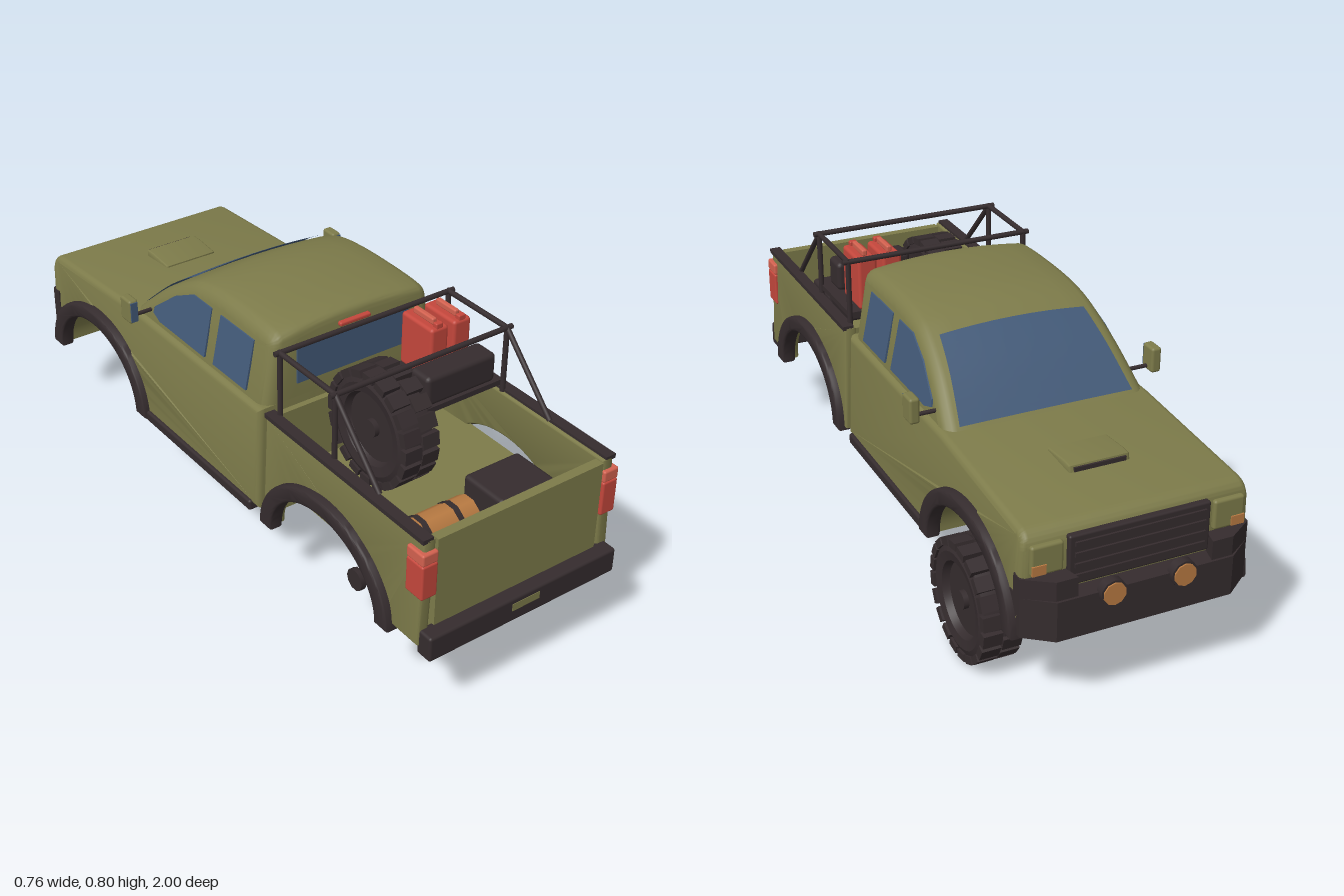
import * as THREE from 'three';
import { toCreasedNormals } from 'three/addons/utils/BufferGeometryUtils.js';
import { RoundedBoxGeometry } from 'three/addons/geometries/RoundedBoxGeometry.js';

const mat = (name, color) => Object.assign(new THREE.MeshStandardMaterial({ color }), { name });
const olive = mat('olive paint', 0x7d7b4a);
const black = mat('black trim', 0x352c2e);
const blue = mat('blue glass', 0x435a78);
const red = mat('red', 0xc4473c);
const paleRed = mat('pale red', 0xd2614f);
const tan = mat('tan', 0xb87a42);

export function createModel() {
  const truck = new THREE.Group();
  truck.name = 'pickupTruck';

  const add = (name, geo, material, parent = truck) => {
    const mesh = new THREE.Mesh(geo, material);
    mesh.name = name;
    parent.add(mesh);
    return mesh;
  };
  // box given by its minimum and maximum corners
  const box = (name, material, [x0, y0, z0], [x1, y1, z1], round = 0, parent = truck) => {
    const s = [x1 - x0, y1 - y0, z1 - z0];
    const geo = round ? new RoundedBoxGeometry(...s, 2, round) : new THREE.BoxGeometry(...s);
    geo.translate((x0 + x1) / 2, (y0 + y1) / 2, (z0 + z1) / 2);
    return add(name, geo, material, parent);
  };
  // round bar between two points
  const bar = (name, a, b, r, material = black) => {
    const from = new THREE.Vector3(...a), dir = new THREE.Vector3(...b).sub(from);
    const mesh = add(name, new THREE.CylinderGeometry(r, r, dir.length(), 10), material);
    mesh.position.copy(from).addScaledVector(dir, 0.5);
    mesh.quaternion.setFromUnitVectors(new THREE.Vector3(0, 1, 0), dir.normalize());
    return mesh;
  };
  // side profile (forward, up) extruded across the truck from x0 to x1
  const slab = (shape, x0, x1, bevel = 0, steps = 1, rule) => {
    const geo = new THREE.ExtrudeGeometry(shape, {
      depth: x1 - x0 - 2 * bevel, steps, curveSegments: 24, bevelEnabled: bevel > 0,
      bevelThickness: bevel, bevelSize: bevel, bevelOffset: -bevel, bevelSegments: 4,
    });
    geo.translate(0, 0, x0 + bevel).rotateY(Math.PI / 2);
    if (rule) rule(geo);
    return toCreasedNormals(geo, 0.6);
  };
  const poly = (pts) => new THREE.Shape(pts.map((p) => new THREE.Vector2(...p)));
  const moveVertices = (fn) => (geo) => {
    const p = geo.attributes.position, v = new THREE.Vector3();
    for (let i = 0; i < p.count; i++) {
      fn(v.fromBufferAttribute(p, i));
      p.setXYZ(i, v.x, v.y, v.z);
    }
    geo.computeVertexNormals();
    return geo;
  };

  // lower body: sides lean in slightly above the wheel arches
  const leanIn = moveVertices((v) => { v.x *= 1 - 0.4 * Math.max(0, v.y - 0.46); });
  const body = new THREE.Shape();
  body.moveTo(-0.245, 0.24);
  body.lineTo(0.385, 0.24);
  body.absellipse(0.625, 0.24, 0.24, 0.185, Math.PI, 0, true);
  body.lineTo(0.91, 0.25);
  body.lineTo(0.928, 0.3);
  body.lineTo(0.928, 0.49);
  body.quadraticCurveTo(0.925, 0.533, 0.885, 0.538);
  body.lineTo(0.43, 0.566);
  body.lineTo(-0.245, 0.566);
  add('lowerBody', slab(body, -0.325, 0.325, 0.018, 1, leanIn), olive);

  // cab top: narrows upwards with a gently crowned roof
  const cabRule = moveVertices((v) => {
    const h = Math.max(0, v.y - 0.56);
    v.y -= h * v.x * v.x;
    v.x *= 1 - 0.62 * h;
  });
  const roofCurve = new THREE.SplineCurve([[-0.245, 0.755], [-0.235, 0.782], [-0.19, 0.795], [-0.09, 0.8], [0.02, 0.799],
    [0.11, 0.789], [0.19, 0.762], [0.315, 0.68], [0.44, 0.56]].map((p) => new THREE.Vector2(...p)));
  const roofPts = roofCurve.getPoints(40);
  const cab = new THREE.Shape([...roofPts, new THREE.Vector2(0.44, 0.5), new THREE.Vector2(-0.245, 0.5)].reverse());
  add('cabTop', slab(cab, -0.302, 0.302, 0.035, 8, cabRule), olive);

  // windscreen follows the roof curve
  const screen = new THREE.PlaneGeometry(2, 1, 8, 12);
  moveVertices((v) => {
    const t = 0.5 - v.y;
    const u = 0.772 + 0.207 * t;
    const p = roofCurve.getPoint(u), d = roofCurve.getTangent(u);
    v.set(v.x * (0.25 + 0.012 * t), p.y + d.x * 0.005, -(p.x - d.y * 0.005));
  })(screen);
  add('windscreen', cabRule(screen), Object.assign(blue, { side: THREE.DoubleSide }));
  const rearWindow = poly([[0.16, 0.585], [0.16, 0.748], [-0.005, 0.748], [-0.005, 0.585]].map(([z, y]) => [-z, y]));
  const frontWindow = poly([[0.05, 0.585], [0.29, 0.585], [0.33, 0.6], [0.325, 0.622], [0.235, 0.7], [0.145, 0.748], [0.05, 0.748]]);
  for (const s of [-1, 1]) {
    const [a, b] = s > 0 ? [0.3, 0.306] : [-0.306, -0.3];
    add('rearSideWindow', slab(rearWindow, a, b, 0, 1, cabRule), blue);
    add('frontSideWindow', slab(frontWindow, a, b, 0, 1, cabRule), blue);
  }
  box('backWindow', blue, [-0.19, 0.61, 0.243], [0.19, 0.73, 0.249]);
  box('highBrakeLight', red, [-0.052, 0.744, 0.235], [0.052, 0.757, 0.258], 0.005);

  // bonnet scoop
  add('bonnetScoop', slab(poly([[0.6, 0.545], [0.725, 0.54], [0.72, 0.566], [0.69, 0.568], [0.6, 0.56]]), -0.088, 0.088, 0.006), olive);
  box('scoopOpening', black, [-0.075, 0.55, -0.728], [0.075, 0.562, -0.722]);

  // nose
  box('grille', black, [-0.2, 0.37, -0.942], [0.2, 0.512, -0.92], 0.006);
  for (let i = 0; i < 4; i++) box('grilleSlat', black, [-0.185, 0.39 + i * 0.031, -0.948], [0.185, 0.402 + i * 0.031, -0.938]);
  const plan = poly([[-0.325, -0.87], [-0.325, -0.925], [-0.25, -0.982], [0.25, -0.982], [0.325, -0.925], [0.325, -0.87]]);
  const bumper = new THREE.ExtrudeGeometry(plan, { depth: 0.115, bevelEnabled: false });
  add('frontBumper', bumper.rotateX(Math.PI / 2).translate(0, 0.36, 0), black);
  for (const s of [-1, 1]) {
    const pts = [[0.325, -0.89], [0.325, -0.925], [0.25, -0.975], [0.19, -0.975], [0.21, -0.89]].map(([x, z]) => [s * x, z]);
    const horn = new THREE.ExtrudeGeometry(poly(pts), { depth: 0.06, bevelEnabled: false });
    add('bumperHorn', horn.rotateX(Math.PI / 2).translate(0, 0.415, 0), black);
    bar('fogLampRim', [s * 0.1, 0.355, -0.97], [s * 0.1, 0.355, -0.996], 0.038);
    bar('fogLamp', [s * 0.1, 0.355, -0.98], [s * 0.1, 0.355, -1], 0.032, tan);
    const lampX = (a, b) => (s > 0 ? [a, b] : [-b, -a]);
    const [h0, h1] = lampX(0.212, 0.302), [m0, m1] = lampX(0.262, 0.3);
    box('headlamp', olive, [h0, 0.42, -0.94], [h1, 0.505, -0.92], 0.008);
    box('turnSignal', tan, [m0, 0.425, -0.944], [m1, 0.452, -0.936]);
  }

  // cargo bed
  const bedSide = new THREE.Shape();
  bedSide.moveTo(-0.955, 0.25);
  bedSide.lineTo(-0.81, 0.25);
  bedSide.absellipse(-0.57, 0.24, 0.24, 0.185, Math.PI, 0, true);
  bedSide.lineTo(-0.275, 0.24);
  bedSide.lineTo(-0.275, 0.57);
  bedSide.lineTo(-0.955, 0.57);
  box('bedFloor', olive, [-0.3, 0.366, 0.28], [0.3, 0.38, 0.94]);
  box('bedFrontWall', olive, [-0.3, 0.25, 0.277], [0.3, 0.568, 0.295]);
  box('tailgate', olive, [-0.273, 0.27, 0.93], [0.273, 0.566, 0.958]);

  // arch flare ring between two half ellipses
  const flare = (c) => {
    const shape = new THREE.Shape();
    shape.absellipse(c, 0.232, 0.288, 0.237, 0, Math.PI, false);
    shape.absellipse(c, 0.232, 0.234, 0.19, Math.PI, 0, true);
    return shape;
  };

  for (const s of [-1, 1]) {
    const side = (a, b) => (s > 0 ? [a, b] : [-b, -a]);
    add('bedSide', slab(bedSide, ...side(0.288, 0.325), 0.008, 1, leanIn), olive);
    for (const c of [0.625, -0.57]) add('archFlare', slab(flare(c), ...side(0.3, 0.346), 0.01), black);
    const [r0, r1] = side(0.285, 0.318), [k0, k1] = side(0.295, 0.335), [t0, t1] = side(0.275, 0.325);
    box('bedRail', black, [r0, 0.565, 0.277], [r1, 0.578, 0.955]);
    box('rockSlider', black, [k0, 0.222, -0.37], [k1, 0.256, 0.22], 0.008);
    box('tailLight', red, [t0, 0.4, 0.9], [t1, 0.505, 0.966], 0.006);
    box('tailLightTop', paleRed, [t0, 0.505, 0.9], [t1, 0.54, 0.966], 0.006);

    // load cage
    const x = s * 0.285;
    bar('cageFrontPost', [x, 0.57, 0.305], [x, 0.77, 0.305], 0.008);
    bar('cageRearPost', [x, 0.57, 0.55], [x, 0.77, 0.55], 0.008);
    bar('cageTopRail', [x, 0.77, 0.3], [x, 0.77, 0.555], 0.008);
    bar('cageBrace', [x, 0.77, 0.55], [x, 0.575, 0.74], 0.008);

    // door mirror with glass facing the tail
    const [m0, m1] = side(0.349, 0.379), [g0, g1] = side(0.353, 0.375);
    bar('mirrorArm', [s * 0.29, 0.595, -0.35], [s * 0.36, 0.595, -0.35], 0.006);
    box('mirrorShell', olive, [m0, 0.582, -0.38], [m1, 0.657, -0.325], 0.008);
    box('mirrorGlass', blue, [g0, 0.588, -0.329], [g1, 0.651, -0.322]);

    // chassis rail
    const [c0, c1] = side(0.125, 0.165);
    box('chassisRail', black, [c0, 0.2, -0.9], [c1, 0.26, 0.95]);
    const [p0, p1] = side(0.13, 0.195);
    box('springPad', black, [p0, 0.19, 0.54], [p1, 0.21, 0.63]);
    bar('axleFlange', [s * 0.222, 0.174, 0.585], [s * 0.239, 0.174, 0.585], 0.033);
  }
  for (const z of [0.305, 0.55]) bar('cageCrossbar', [-0.302, 0.77, z], [0.302, 0.77, z], 0.008);

  // chassis underside
  for (const z of [-0.85, -0.42, -0.2, 0.02, 0.25, 0.42, 0.75, 0.92])
    box('crossMember', black, [-0.15, 0.21, z - 0.018], [0.15, 0.248, z + 0.018]);
  for (const z of [-0.3, -0.08, 0.15]) box('sliderBracket', black, [-0.31, 0.225, z - 0.012], [0.31, 0.245, z + 0.012]);
  box('skidPlate', black, [-0.13, 0.205, -0.82], [0.13, 0.235, -0.5]);
  bar('rearAxle', [-0.23, 0.174, 0.585], [0.23, 0.174, 0.585], 0.019);
  add('differential', new THREE.SphereGeometry(0.052, 16, 12), black).position.set(0.03, 0.172, 0.585);
  bar('driveshaftStub', [0.03, 0.174, 0.59], [0.03, 0.174, 0.5], 0.017);

  // rear bumper and plate
  box('rearBumper', black, [-0.316, 0.22, 0.945], [0.316, 0.296, 0.998], 0.008);
  box('numberPlate', olive, [-0.046, 0.258, 0.994], [0.046, 0.28, 1]);

  // knobbly wheel with two staggered rows of tread blocks
  const wheel = (name, x, y, z) => {
    const group = new THREE.Group();
    group.name = name;
    const profile = [[0, -0.03], [0.1, -0.03], [0.108, -0.05], [0.135, -0.055], [0.157, -0.046], [0.161, 0],
      [0.157, 0.046], [0.135, 0.055], [0.108, 0.05], [0.1, 0.03], [0, 0.03]].map((p) => new THREE.Vector2(...p));
    const tyre = new THREE.LatheGeometry(profile, 40).rotateZ(-Math.PI / 2);
    add('tyre', toCreasedNormals(tyre, 0.5), black, group);
    const n = 20;
    for (let i = 0; i < n * 2; i++) {
      const row = i % 2 ? 1 : -1;
      const block = new THREE.BoxGeometry(0.055, 0.022, 0.04).translate(row * 0.029, 0.16, 0);
      add('treadBlock', block.rotateX((i * Math.PI) / n), black, group);
    }
    add('hub', new THREE.CylinderGeometry(0.026, 0.026, 0.09, 16).rotateZ(Math.PI / 2), black, group);
    group.position.set(x, y, z);
    truck.add(group);
  };
  wheel('roadWheel', 0.302, 0.175, -0.622);
  wheel('spareWheel', -0.068, 0.556, 0.472);

  // load: shelf, tool case, fuel cans, crate and bedroll
  box('loadShelf', black, [0, 0.588, 0.31], [0.285, 0.604, 0.545]);
  box('toolCase', black, [0.022, 0.607, 0.465], [0.26, 0.697, 0.545], 0.014);
  for (const x of [0.142, 0.22]) {
    box('fuelCan', red, [x - 0.03, 0.605, 0.312], [x + 0.03, 0.767, 0.445], 0.01);
    box('fuelCanHandle', paleRed, [x - 0.008, 0.765, 0.335], [x + 0.008, 0.785, 0.42], 0.005);
    box('fuelCanCap', red, [x - 0.012, 0.76, 0.425], [x + 0.012, 0.78, 0.442], 0.004);
  }
  box('crate', black, [0.02, 0.38, 0.708], [0.208, 0.49, 0.86], 0.012);
  bar('bedroll', [-0.25, 0.432, 0.785], [-0.025, 0.432, 0.785], 0.053, tan);
  for (const x of [-0.19, -0.085]) bar('bedrollStrap', [x - 0.008, 0.432, 0.785], [x + 0.008, 0.432, 0.785], 0.055);

  return truck;
}
